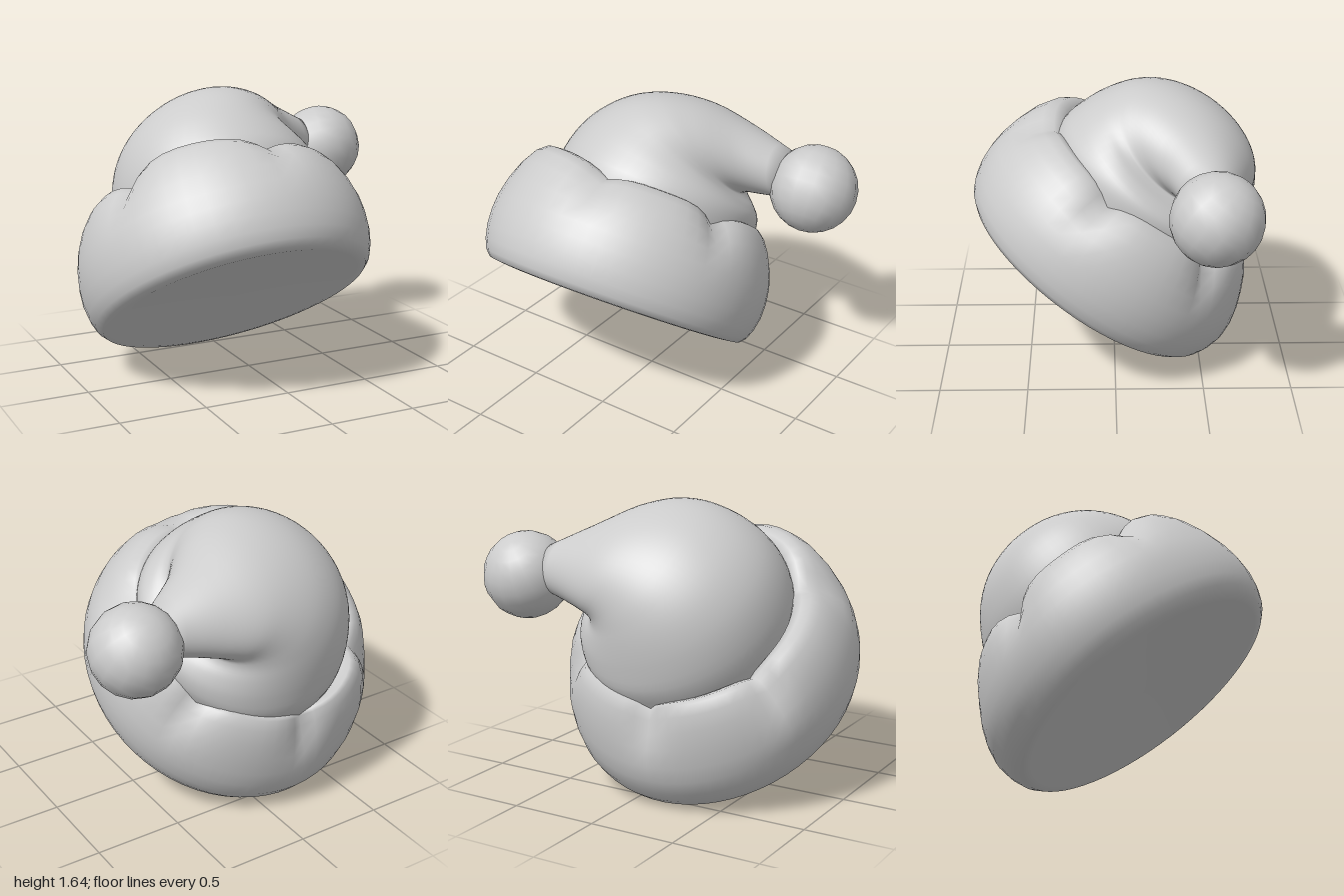
import * as THREE from 'three';

const SIDES = 60;
const TURN = Math.PI * 2;
const { smoothstep } = THREE.MathUtils;

// Smooth skin over closed rings of points, ordered from bottom to tip
function loft(rings) {
  const n = rings[0].length;
  const positions = rings.flat().flatMap((p) => [p.x, p.y, p.z]);
  const index = [];
  for (let i = 0; i < rings.length - 1; i++) {
    for (let j = 0; j < n; j++) {
      const k = (j + 1) % n;
      const a = i * n + j, b = i * n + k;
      index.push(a, b, b + n, a, b + n, a + n);
    }
  }
  const geometry = new THREE.BufferGeometry();
  geometry.setAttribute('position', new THREE.Float32BufferAttribute(positions, 3));
  geometry.setIndex(index);
  geometry.computeVertexNormals();
  return geometry;
}

// Padded brim: a turned profile whose upper rim is pinched at six creases
function brimGeometry() {
  const profile = [
    [0, 0.03], [0.4, 0.025], [0.7, 0.008], [0.76, 0], [0.808, 0.006], [0.842, 0.04],
    [0.868, 0.1], [0.886, 0.18], [0.89, 0.27], [0.882, 0.36], [0.857, 0.46], [0.817, 0.55],
    [0.767, 0.62], [0.715, 0.66], [0.665, 0.665], [0.61, 0.64], [0.56, 0.55],
  ];
  return loft(profile.map(([r, h]) => {
    const upper = smoothstep(h, 0.36, 0.64);
    const lean = 0.065 * smoothstep(h, 0.12, 0.55) * smoothstep(r, 0.6, 0.75);
    return Array.from({ length: SIDES }, (_, j) => {
      const t = (j / SIDES) * TURN;
      const front = Math.max(0, Math.cos(t)) ** 4;
      const pinch = upper * (1 - Math.abs(Math.sin(3 * t))) ** 2;
      const radius = r - 0.035 * pinch;
      const angle = t + 0.03 + 0.07 * Math.sin(t) + 0.12 * front;
      // the lobe on one side of the front crease stands a little taller
      const swell = 0.055 * upper * Math.max(0, Math.cos(t + 0.65)) ** 6;
      const back = (1 - Math.cos(angle)) / 2;
      return new THREE.Vector3(
        0.944 * radius * Math.sin(angle),
        h + swell - (0.078 - 0.03 * front) * pinch,
        radius * Math.cos(angle) + lean * back ** 2);
    });
  }));
}

// Crown: oval sections fanning over from the dome into the drooping tail
function crownGeometry() {
  // outer x, outer y, inner x, inner y, half depth, depth offset
  const sections = [
    [-0.545, 0.48, 0.6, 0.48, 0.625, 0.005],
    [-0.555, 0.7, 0.65, 0.63, 0.635, 0.015],
    [-0.495, 0.92, 0.65, 0.71, 0.59, 0.025],
    [-0.37, 1.085, 0.605, 0.765, 0.535, 0.03],
    [-0.19, 1.205, 0.545, 0.8, 0.48, 0.035],
    [0.01, 1.265, 0.52, 0.82, 0.425, 0.03],
    [0.23, 1.275, 0.54, 0.835, 0.355, 0],
    [0.48, 1.22, 0.61, 0.85, 0.25, -0.045],
    [0.74, 1.14, 0.75, 0.87, 0.14, -0.08],
  ];
  const curve = (f) => new THREE.CatmullRomCurve3(sections.map(f));
  const outer = curve((s) => new THREE.Vector3(s[0], s[1], 0));
  const inner = curve((s) => new THREE.Vector3(s[2], s[3], 0));
  const depth = curve((s) => new THREE.Vector3(s[4], s[5], 0));
  const rings = [];
  const steps = 32;
  for (let i = 0; i <= steps; i++) {
    const a = outer.getPoint(i / steps);
    const b = inner.getPoint(i / steps);
    const d = depth.getPoint(i / steps);
    const centre = a.clone().add(b).multiplyScalar(0.5);
    const across = b.clone().sub(a).multiplyScalar(0.5);
    rings.push(Array.from({ length: SIDES }, (_, j) => {
      const t = (j / SIDES) * TURN;
      const p = centre.clone().addScaledVector(across, Math.sin(t));
      p.z = d.y + d.x * Math.cos(t);
      return p;
    }));
  }
  // Close the tail tip
  const tip = new THREE.Vector3(0.76, 1.005, -0.08);
  rings.push(Array.from({ length: SIDES }, () => tip));
  return loft(rings);
}

export function createModel() {
  const model = new THREE.Group();
  model.name = 'bobbleHat';
  const material = new THREE.MeshStandardMaterial({ color: 0xcccccc });

  // The whole hat leans backwards
  const hat = new THREE.Group();
  hat.name = 'tiltedHat';
  hat.position.set(-0.16, 0.465, 0.15);
  hat.rotation.x = -0.615;
  model.add(hat);

  const add = (name, geometry) => {
    const mesh = new THREE.Mesh(geometry, material);
    mesh.name = name;
    hat.add(mesh);
    return mesh;
  };
  add('brim', brimGeometry());
  add('crown', crownGeometry());
  add('pompom', new THREE.SphereGeometry(0.25, 16, 12)).position.set(0.91, 0.975, -0.13);

  return model;
}
